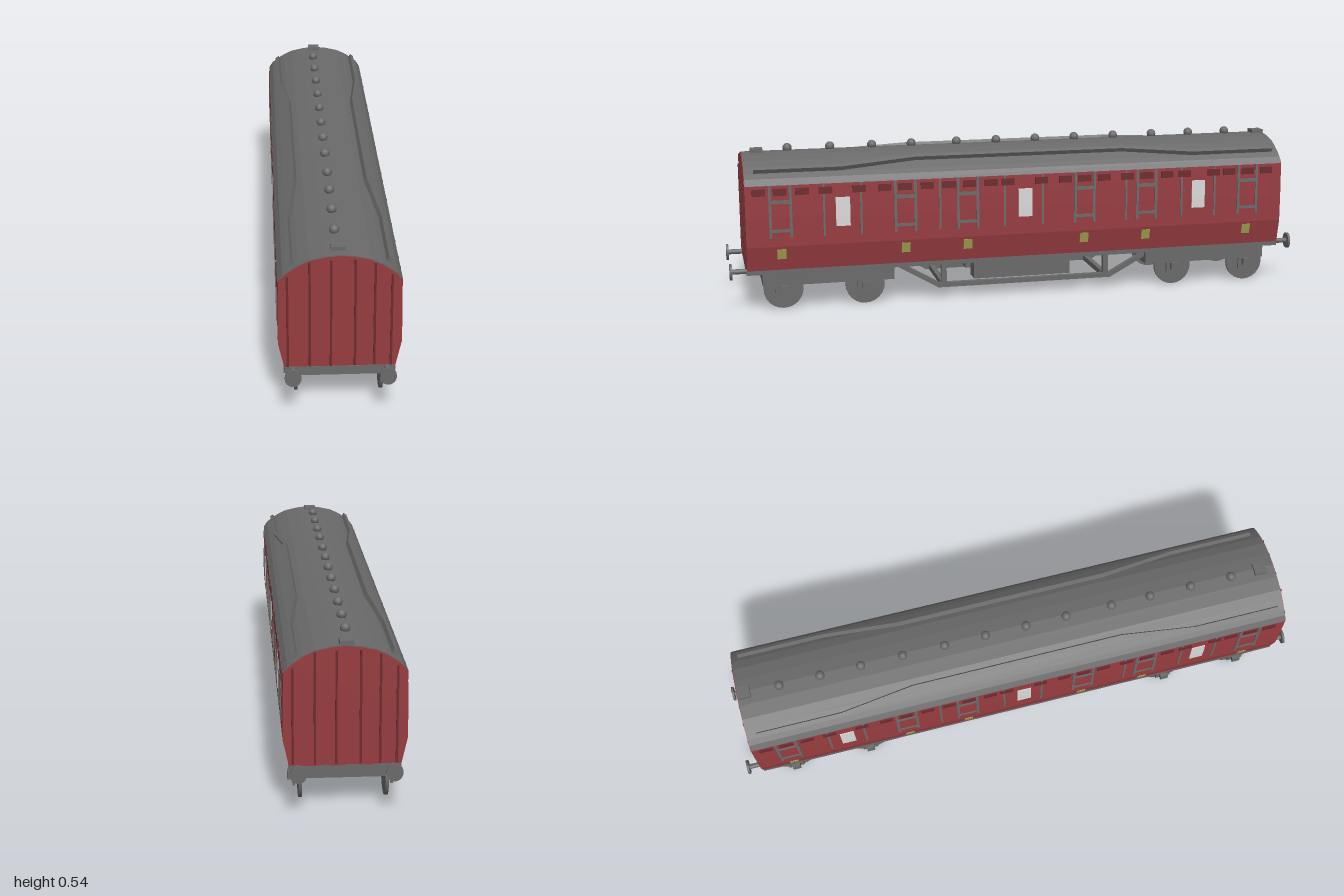
import * as THREE from 'three';

const mat = (name, color) => new THREE.MeshStandardMaterial({ name, color });

export function createModel() {
  const grey = mat('grey metal', 0x6a6a6a);
  const red = mat('maroon paint', 0x973c3f);
  const darkRed = mat('dark maroon', 0x6c2b2d);
  const white = mat('frosted white', 0xd8d8d8);
  const brass = mat('brass', 0xa3a352);

  const root = new THREE.Group();
  root.name = 'railwayCarriage';

  const add = (parent, name, geo, material, x = 0, y = 0, z = 0) => {
    const m = new THREE.Mesh(geo, material);
    m.name = name;
    m.position.set(x, y, z);
    parent.add(m);
    return m;
  };
  const box = (parent, name, material, w, h, d, x, y, z) =>
    add(parent, name, new THREE.BoxGeometry(w, h, d), material, x, y, z);
  // Prism along z from a cross-section in x, y
  const prism = (pts, z0, z1) => new THREE.ExtrudeGeometry(
    new THREE.Shape(pts.map(p => new THREE.Vector2(p[0], p[1]))),
    { depth: z1 - z0, bevelEnabled: false }).translate(0, 0, z0);
  const mirrored = half => [...half, ...half.slice().reverse().filter(p => p[0] > 0).map(p => [-p[0], p[1]])];

  // Body shell with a curved roof on top
  const arc = [[0.168, 0.45], [0.152, 0.463], [0.122, 0.483], [0.09, 0.498], [0.045, 0.508], [0, 0.513]];
  add(root, 'body', prism(mirrored([[0.167, 0.142], [0.185, 0.225], [0.185, 0.32], [0.182, 0.434], ...arc]), -0.945, 0.943), red);
  add(root, 'roof', prism(mirrored([[0.184, 0.432], ...arc.map(p => [p[0] * 1.012, p[1] + 0.003])]), -0.943, 0.941), grey);

  // Roof domes and end hatches
  for (const z of [-0.8, -0.66, -0.52, -0.375, -0.23, -0.087, 0.055, 0.197, 0.357, 0.495, 0.64, 0.785])
    add(root, 'roofVent', new THREE.SphereGeometry(0.016, 12, 8), grey, -0.01, 0.524, z);
  for (const z of [-0.92, 0.89]) box(root, 'roofHatch', grey, 0.043, 0.02, 0.042, -0.004, 0.517, z);

  // Gutter rail lofted through its cross-sections, stepping inwards at mid length
  const corners = [[0.158, 0.482], [0.146, 0.49], [0.135, 0.47], [0.147, 0.463]];
  const stations = [[-0.92, 0], [-0.62, 0], [-0.365, 1], [0.365, 1], [0.62, 0], [0.91, 0]];
  const railGeometry = () => {
    const pos = [];
    const at = (s, k) => {
      const [z, t] = stations[s], c = corners[k % 4];
      return [c[0] - 0.028 * t, c[1] + 0.018 * t, z];
    };
    const quad = (a, b, c, d) => pos.push(...a, ...b, ...c, ...a, ...c, ...d);
    for (let s = 0; s < stations.length - 1; s++)
      for (let k = 0; k < 4; k++) quad(at(s, k), at(s, k + 1), at(s + 1, k + 1), at(s + 1, k));
    const e = stations.length - 1;
    quad(at(0, 3), at(0, 2), at(0, 1), at(0, 0));
    quad(at(e, 0), at(e, 1), at(e, 2), at(e, 3));
    const g = new THREE.BufferGeometry();
    g.setAttribute('position', new THREE.Float32BufferAttribute(pos, 3));
    g.computeVertexNormals();
    return g;
  };

  // Everything on one long side; the other side is the same turned half round
  const makeSide = () => {
    const side = new THREE.Group();
    add(side, 'roofRail', railGeometry(), grey);

    // Thin plate following the body wall between two heights
    const wall = y => y < 0.225 ? 0.167 + (y - 0.142) * 0.018 / 0.083 : y < 0.32 ? 0.185 : 0.185 - (y - 0.32) * 0.026;
    const plate = (name, material, y0, y1, z, d, t = 0.003) => {
      const x0 = wall(y0), x1 = wall(y1), ym = Math.max(y0, Math.min(y1, 0.32));
      const xm = ym === 0.32 ? 0.185 : wall(ym);
      const pts = [[x0 - 0.002, y0], [x0 + t, y0]];
      if (ym > y0 && ym < y1) pts.push([xm + t, ym]);
      pts.push([x1 + t, y1], [x1 - 0.002, y1]);
      add(side, name, prism(pts, z - d / 2, z + d / 2), material);
    };

    for (const z of [0.828, 0.41, 0.196, -0.217, -0.442, -0.818]) {
      for (const s of [-1, 1]) plate('doorFrameUpright', grey, 0.255, 0.432, z + s * 0.034, 0.009);
      plate('doorFrameTopRail', grey, 0.37, 0.382, z, 0.068);
      plate('doorFrameLowerRail', grey, 0.274, 0.284, z, 0.068);
      plate('brassPlate', brass, 0.181, 0.216, z, 0.03);
    }
    for (const z of [0.684, 0.56, 0.292, 0.067, -0.067, -0.367, -0.571, -0.694])
      plate('wallStrip', grey, 0.255, 0.432, z, 0.007);
    for (const z of [0.621, -0.005, -0.633]) plate('frostedWindow', white, 0.286, 0.384, z, 0.048);
    for (const z of [0.898, 0.828, 0.755, 0.678, 0.566, 0.48, 0.41, 0.335, 0.26, 0.19, 0.115, 0.056,
      -0.062, -0.147, -0.217, -0.287, -0.372, -0.442, -0.517, -0.582, -0.689, -0.748, -0.818, -0.887])
      plate('windowVent', darkRed, 0.398, 0.421, z, 0.045, 0.004);
    return side;
  };
  const leftSide = makeSide();
  leftSide.name = 'leftSide';
  const rightSide = makeSide();
  rightSide.name = 'rightSide';
  rightSide.rotation.y = Math.PI;
  root.add(leftSide, rightSide);

  // Ends: upright beading and buffers
  for (const s of [1, -1]) {
    const end = new THREE.Group();
    end.name = s > 0 ? 'frontEnd' : 'backEnd';
    end.rotation.y = s > 0 ? 0 : Math.PI;
    for (const [x, top] of [[-0.156, 0.448], [-0.09, 0.495], [-0.027, 0.5], [0.045, 0.5], [0.103, 0.488], [0.153, 0.45]])
      box(end, 'endBeading', darkRed, 0.007, top - 0.147, 0.006, x, (top + 0.147) / 2, 0.944);
    for (const x of [-0.142, 0.142]) {
      add(end, 'bufferShaft', new THREE.CylinderGeometry(0.009, 0.009, 0.06, 12).rotateX(Math.PI / 2), grey, x, 0.137, 0.965);
      add(end, 'bufferHead', new THREE.CylinderGeometry(0.025, 0.025, 0.008, 24).rotateX(Math.PI / 2), grey, x, 0.137, 0.996)
        .scale.y = 1.12;
    }
    root.add(end);
  }

  // Floor and bogies
  box(root, 'floor', grey, 0.334, 0.018, 1.89, 0, 0.136, 0);
  for (const [zc, wheels] of [[0.67, [0.823, 0.546]], [-0.675, [-0.56, -0.834]]]) {
    const bogie = new THREE.Group();
    bogie.name = zc > 0 ? 'frontBogie' : 'backBogie';
    box(bogie, 'bogieFrame', grey, 0.308, 0.046, 0.445, 0, 0.106, zc);
    for (const z of wheels) for (const s of [-1, 1]) {
      add(bogie, 'wheel', new THREE.CylinderGeometry(0.067, 0.067, 0.01, 24).rotateZ(Math.PI / 2), grey, s * 0.131, 0.067, z);
      box(bogie, 'axleGuide', grey, 0.008, 0.04, 0.055, s * 0.149, 0.065, z);
      box(bogie, 'axleBox', grey, 0.016, 0.025, 0.028, s * 0.16, 0.071, z);
    }
    root.add(bogie);
  }

  // Underframe trusses, crossbars and equipment boxes
  const truss = new THREE.Group();
  truss.name = 'underframeTruss';
  const strut = (x, z0, y0, z1, y1) => {
    const m = box(truss, 'trussBar', grey, 0.018, 0.016, Math.hypot(z1 - z0, y1 - y0) + 0.008, x, (y0 + y1) / 2, (z0 + z1) / 2);
    m.rotation.x = -Math.atan2(y1 - y0, z1 - z0);
  };
  for (const x of [-0.128, 0.128]) {
    strut(x, 0.29, 0.046, 0.435, 0.13);
    strut(x, -0.325, 0.046, 0.29, 0.046);
    strut(x, -0.48, 0.13, -0.325, 0.046);
    for (const z of [0.272, -0.31]) box(truss, 'trussPost', grey, 0.018, 0.086, 0.018, x, 0.087, z);
  }
  for (const z of [0.272, -0.31]) box(truss, 'crossbar', grey, 0.25, 0.018, 0.018, 0, 0.047, z);
  box(truss, 'equipmentBox', grey, 0.065, 0.072, 0.345, 0.0875, 0.093, -0.01);
  box(truss, 'equipmentBox', grey, 0.087, 0.072, 0.345, -0.0765, 0.093, -0.01);
  root.add(truss);

  return root;
}
